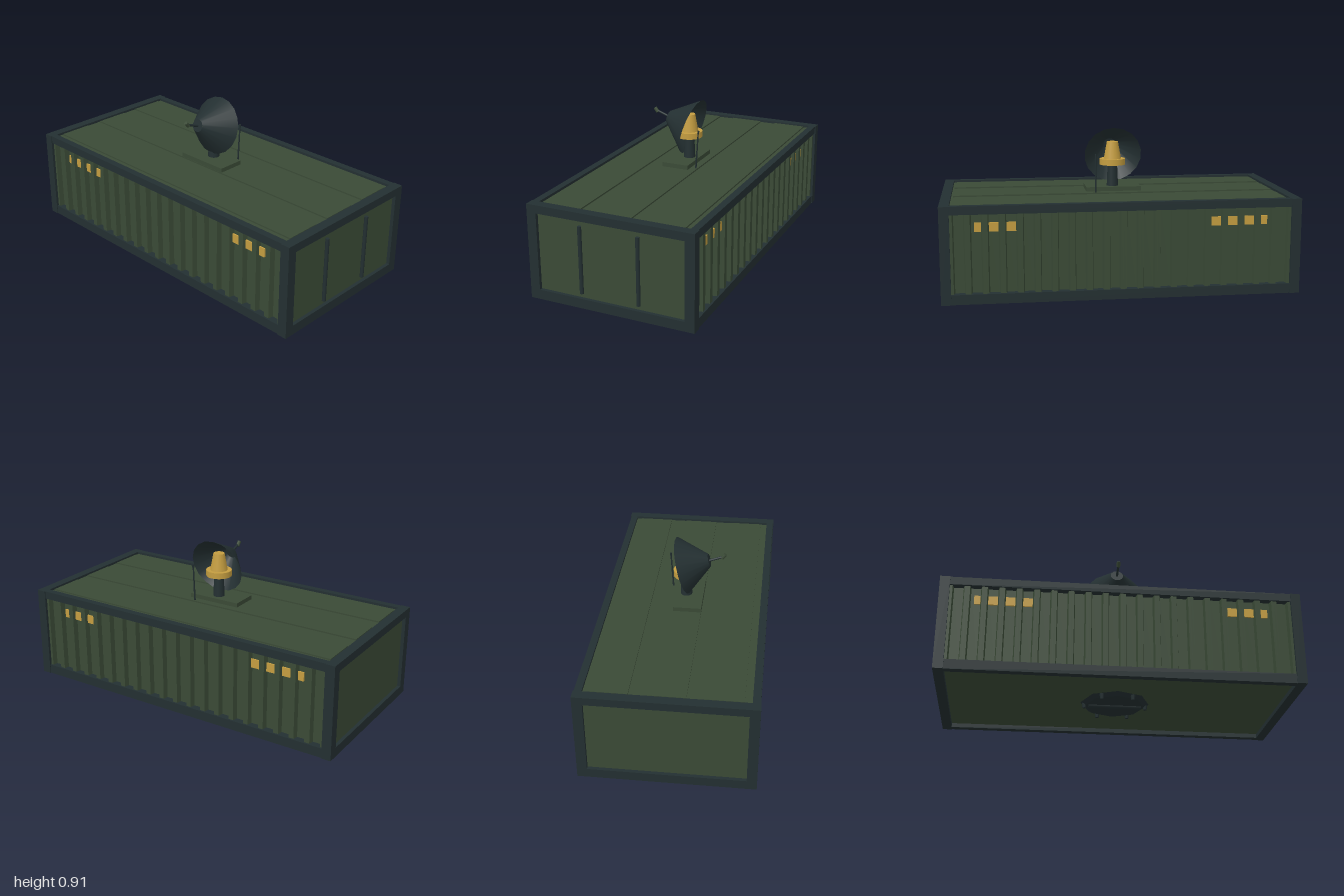
import * as THREE from 'three';

const mat = (name, color, side = THREE.FrontSide) => {
  const m = new THREE.MeshStandardMaterial({ color, side });
  m.name = name;
  return m;
};

export function createModel() {
  const model = new THREE.Group();
  const green = mat('olive green', 0x3a4a36);
  const dark = mat('dark slate', 0x232f31, THREE.DoubleSide);
  const gold = mat('amber', 0xc49d40);

  const add = (name, geo, material, x = 0, y = 0, z = 0, parent = model) => {
    const m = new THREE.Mesh(geo, material);
    m.name = name;
    m.position.set(x, y, z);
    parent.add(m);
    return m;
  };
  // Box given by its low and high corners
  const span = (name, material, x0, x1, y0, y1, z0, z1, parent = model) =>
    add(name, new THREE.BoxGeometry(x1 - x0, y1 - y0, z1 - z0), material,
      (x0 + x1) / 2, (y0 + y1) / 2, (z0 + z1) / 2, parent);
  // Rod between two points
  const rod = (name, a, b, r0, r1, material, sides = 8) => {
    const p = new THREE.Vector3(...a), q = new THREE.Vector3(...b);
    const d = q.clone().sub(p);
    const m = add(name, new THREE.CylinderGeometry(r1, r0, d.length(), sides), material);
    m.position.copy(p).add(q).multiplyScalar(0.5);
    m.quaternion.setFromUnitVectors(new THREE.Vector3(0, 1, 0), d.normalize());
    return m;
  };

  // Container frame: posts and rails
  const X0 = -1, X1 = 0.993, Y0 = 0.01, Y1 = 0.55, Z = 0.48, T = 0.055;
  const frame = new THREE.Group();
  frame.name = 'frame';
  model.add(frame);
  for (const s of [-1, 1]) {
    const zs = (a, b) => (s > 0 ? [a, b] : [-b, -a]);
    for (const [a, b] of [[X0, X0 + T], [X1 - T, X1]])
      span('cornerPost', dark, a, b, Y0, Y1, ...zs(Z - T, Z), frame);
    span('topRail', dark, X0 + T, X1 - T, Y1 - 0.046, Y1, ...zs(Z - 0.045, Z - 0.005), frame);
    span('bottomRail', dark, X0 + T, X1 - T, Y0, Y0 + T, ...zs(Z - 0.045, Z - 0.005), frame);
  }
  for (const [a, b] of [[X0, X0 + T], [X1 - T, X1]]) {
    span('endTopRail', dark, a, b, Y1 - 0.046, Y1, -Z + T, Z - T, frame);
    span('endBottomRail', dark, a, b, Y0, Y0 + T, -Z + T, Z - T, frame);
  }

  // Flat panels: ends, roof and floor
  span('rightEndPanel', green, -0.98, -0.96, 0.05, 0.52, -0.43, 0.43);
  span('leftEndPanel', green, 0.953, 0.973, 0.05, 0.52, -0.43, 0.43);
  span('roof', green, -0.96, 0.953, 0.515, 0.536, -0.44, 0.44);
  span('floor', green, -0.96, 0.953, 0.035, 0.055, -0.44, 0.44);
  for (const z of [-0.3, 0, 0.295])
    span('roofRib', green, -0.935, 0.928, 0.53, 0.544, z - 0.1, z + 0.1);

  // Corrugated long walls, extruded upward from a trapezoid wave
  const n = 20, wx0 = X0 + T, pitch = (X1 - X0 - 2 * T) / n, cx = (X0 + X1) / 2;
  const wave = new THREE.Shape();
  const half = pitch * n / 2;
  wave.moveTo(-half, 0.415);
  wave.lineTo(half, 0.415);
  for (let i = n - 1; i >= 0; i--) {
    const x = -half + i * pitch;
    wave.lineTo(x + pitch, 0.465);
    wave.lineTo(x + pitch - 0.015, 0.465);
    wave.lineTo(x + pitch - 0.021, 0.435);
    wave.lineTo(x + 0.021, 0.435);
    wave.lineTo(x + 0.015, 0.465);
  }
  wave.lineTo(-half, 0.465);
  wave.closePath();
  const wallGeo = new THREE.ExtrudeGeometry(wave, { depth: 0.45, bevelEnabled: false });
  wallGeo.rotateX(-Math.PI / 2);
  add('backWall', wallGeo, green, cx, 0.06, 0);
  add('frontWall', wallGeo, green, cx, 0.06, 0).rotation.y = Math.PI;

  // Lit windows set in the valleys of both long walls
  const panes = [[1, 0.018, 0.052], [2, 0, 0.052], [3, 0, 0.052], [4, 0, 0.052],
    [16, 0, 0.052], [17, 0, 0.052], [18, 0, 0.036]];
  for (const s of [-1, 1]) {
    for (const [i, a, b] of panes) {
      const x = wx0 + i * pitch + 0.021;
      span('window', gold, x + a, x + b, 0.405, 0.455, s * 0.446 - 0.004, s * 0.446 + 0.004);
    }
  }

  // Door lock bars on the left end
  for (const z of [-0.165, 0.168])
    rod('lockBar', [0.988, 0.095, z], [0.988, 0.475, z], 0.011, 0.011, dark);

  // Dish mount: plate, pole, turntable and hub
  span('mountPlate', green, -0.162, 0.16, 0.545, 0.57, -0.06, 0.1);
  rod('pole', [0, 0.57, 0], [0, 0.7, 0], 0.034, 0.028, dark, 16);
  rod('turntable', [0, 0.695, 0], [0, 0.73, 0], 0.075, 0.075, gold, 24);
  rod('hub', [0, 0.73, 0], [0, 0.83, 0], 0.051, 0.033, gold, 16);

  // Dish, open at the back, with a capped narrow front
  const dish = new THREE.Group();
  dish.name = 'dish';
  dish.position.set(0, 0.755, -0.0225);
  dish.rotation.x = Math.PI / 2 - 0.28;
  model.add(dish);
  add('dishShell', new THREE.CylinderGeometry(0.037, 0.167, 0.16, 18, 1, true), dark, 0, 0.08, 0, dish);
  add('dishCap', new THREE.CircleGeometry(0.037, 18).rotateX(-Math.PI / 2), dark, 0, 0.16, 0, dish);

  // Feed arm and receiver head
  rod('feedArm', [0, 0.795, 0.125], [0, 0.825, 0.205], 0.007, 0.007, dark);
  rod('receiver', [0, 0.818, 0.204], [0, 0.842, 0.223], 0.011, 0.011, green);

  // Whip antenna with a small tip
  rod('antenna', [0.11, 0.545, -0.09], [0.11, 0.76, -0.104], 0.005, 0.004, dark, 6);
  rod('antennaTip', [0.11, 0.752, -0.104], [0.11, 0.77, -0.105], 0.006, 0.006, dark, 6);

  // Underside hatch with a central ridge and bolts
  add('hatch', new THREE.CylinderGeometry(0.2, 0.17, 0.02, 8).toNonIndexed(), dark, 0, 0.027, 0)
    .geometry.computeVertexNormals();
  const ridge = add('hatchRidge', new THREE.CylinderGeometry(0.02, 0.02, 0.3, 8), dark, 0, 0.022, 0);
  ridge.rotation.z = Math.PI / 2;
  for (let i = 0; i < 6; i++) {
    const a = i * Math.PI / 3;
    add('hatchBolt', new THREE.CylinderGeometry(0.014, 0.01, 0.03, 8), dark,
      0.175 * Math.cos(a), 0.017, 0.175 * Math.sin(a));
  }
  return model;
}
